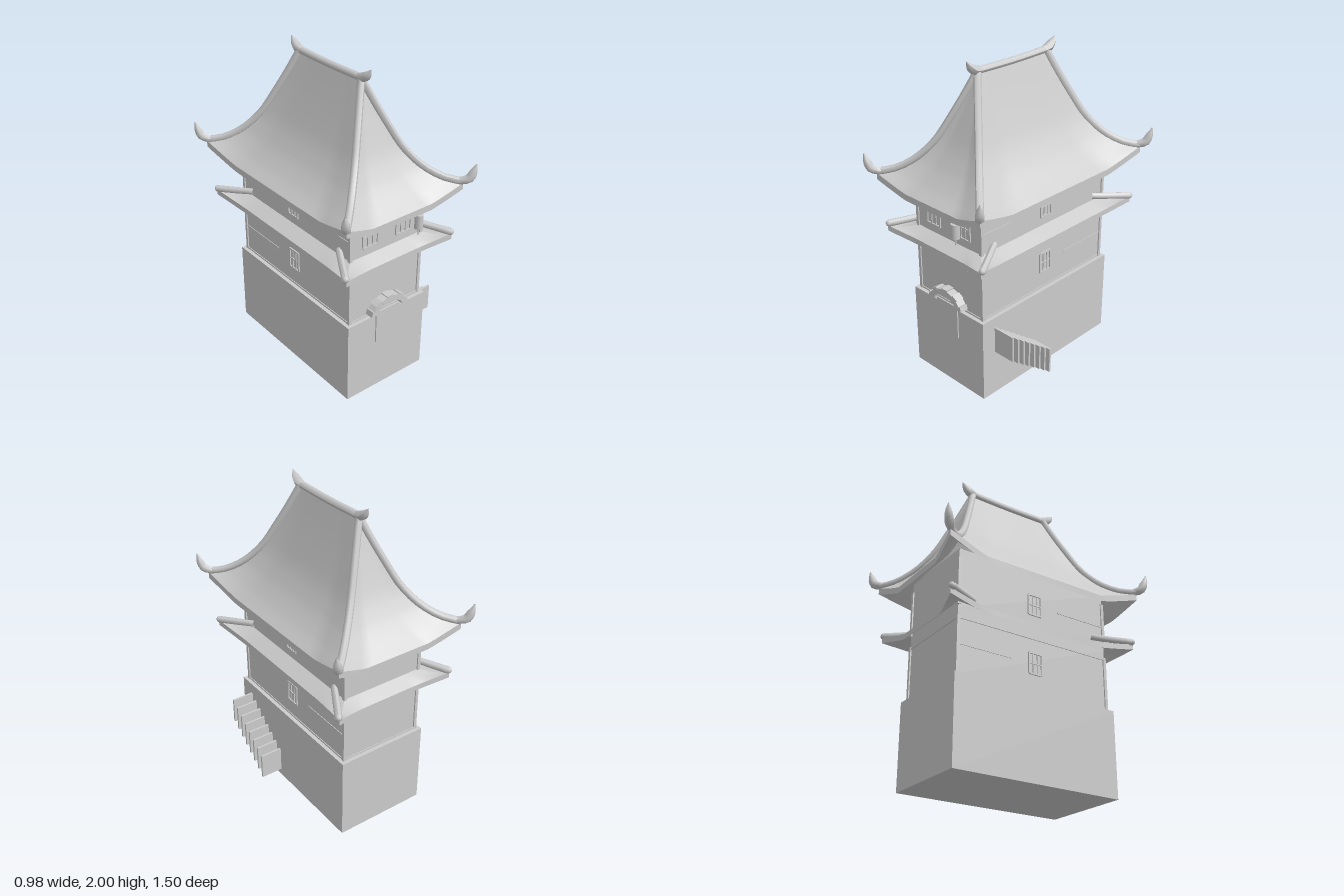
import * as THREE from 'three';
import { ParametricGeometry } from 'three/addons/geometries/ParametricGeometry.js';

const mat = new THREE.MeshStandardMaterial({ color: 0xcccccc, side: THREE.DoubleSide });
const flatMat = new THREE.MeshStandardMaterial({ color: 0xcccccc, side: THREE.DoubleSide, flatShading: true });
const V = (x, y, z) => new THREE.Vector3(x, y, z);
const lerp = THREE.MathUtils.lerp;

function add(parent, name, geometry, material = mat) {
  const mesh = new THREE.Mesh(geometry, material);
  mesh.name = name;
  parent.add(mesh);
  return mesh;
}

function box(parent, name, w, h, d, x, y, z) {
  const mesh = add(parent, name, new THREE.BoxGeometry(w, h, d));
  mesh.position.set(x, y, z);
  return mesh;
}

// Tube whose radius follows a list of values along its path
function taperTube(points, radii, steps = 10, sides = 8) {
  const curve = new THREE.CatmullRomCurve3(points);
  const geo = new THREE.TubeGeometry(curve, steps, 1, sides);
  const pos = geo.attributes.position, v = V(0, 0, 0);
  for (let i = 0; i <= steps; i++) {
    const c = curve.getPointAt(i / steps);
    const f = (i / steps) * (radii.length - 1), k = Math.min(Math.floor(f), radii.length - 2);
    const r = lerp(radii[k], radii[k + 1], f - k);
    for (let j = 0; j <= sides; j++) {
      const n = i * (sides + 1) + j;
      v.fromBufferAttribute(pos, n).sub(c).multiplyScalar(r).add(c);
      pos.setXYZ(n, v.x, v.y, v.z);
    }
  }
  geo.computeVertexNormals();
  return geo;
}

// Height along a slope, from a short [v, y] list
function heightAt(profile, v) {
  for (let i = 1; i < profile.length; i++) {
    const [v0, y0] = profile[i - 1], [v1, y1] = profile[i];
    if (v <= v1) return lerp(y0, y1, (v - v0) / (v1 - v0));
  }
  return profile[profile.length - 1][1];
}

// Point on a slope: u runs along the eave (-1..1), v from top to eave
function slopePoint(s, u, v, target) {
  const f = Math.pow(Math.max(0, (Math.abs(u) - s.flat) / (1 - s.flat)), 1.15);
  const out = lerp(s.out[0], s.out[1] + s.flare * f, v);
  const along = u * lerp(s.along[0], s.along[1], v);
  const y = heightAt(s.profile, v) + s.lift * f * v * v * v;
  return s.side ? target.set(out, y, along) : target.set(along, y, out);
}

// Upper skin, underside and fascia of one slope, repeated on the opposite face
function addSlope(parent, name, s) {
  const skin = drop => (a, b, t) => { slopePoint(s, a * 2 - 1, b, t); t.y -= drop * b; };
  const fascia = (a, b, t) => { slopePoint(s, a * 2 - 1, 1, t); t.y -= s.thick * b; };
  const parts = [['Top', skin(0), 14], ['Underside', skin(s.thick), 14], ['Fascia', fascia, 1]];
  for (const [part, fn, rows] of parts) {
    const geo = new ParametricGeometry(fn, 20, rows);
    geo.computeVertexNormals();
    for (const turn of [0, Math.PI]) add(parent, name + part, geo).rotation.y = turn;
  }
}

// Frame with mullions, facing +z
function windowFrame(w, h) {
  const g = new THREE.Group();
  g.name = 'window';
  for (const s of [-1, 1]) {
    box(g, 'windowJamb', 0.01, h, 0.012, s * w / 2, 0, 0);
    box(g, 'windowRail', w, 0.01, 0.012, 0, s * h / 2, 0);
    box(g, 'windowBar', 0.006, h, 0.008, s * w / 6, 0, 0);
  }
  box(g, 'windowBar', w, 0.006, 0.008, 0, 0, 0);
  return g;
}

export function createModel() {
  const model = new THREE.Group();
  model.name = 'watchTower';

  // Base and the two storeys
  box(model, 'base', 0.6, 0.54, 1.12, 0, 0.27, 0);
  box(model, 'lowerWalls', 0.54, 0.4, 1.06, 0, 0.74, 0);
  box(model, 'upperWalls', 0.54, 0.38, 1.06, 0, 1.13, 0);
  for (const sx of [-1, 1]) for (const sz of [-1, 1]) {
    box(model, 'lowerCornerPost', 0.02, 0.35, 0.02, sx * 0.268, 0.715, sz * 0.528);
    box(model, 'upperCornerPost', 0.02, 0.3, 0.02, sx * 0.268, 1.11, sz * 0.528);
  }
  for (const y of [0.545, 0.88]) box(model, 'wallBeam', 0.55, 0.012, 1.07, 0, y, 0);

  // Main hipped roof
  const profile = [[0, 1.92], [0.12, 1.79], [0.25, 1.66], [0.41, 1.51], [0.61, 1.385], [0.82, 1.295], [1, 1.24]];
  const sideRoof = { side: true, out: [0, 0.40], along: [0.28, 0.69], flare: 0.03, flat: 0.6, lift: 0.075, thick: 0.04, profile };
  const frontRoof = { ...sideRoof, side: false, out: [0.28, 0.66], along: [0, 0.43], flat: 0.5 };
  addSlope(model, 'sideRoof', sideRoof);
  addSlope(model, 'endRoof', frontRoof);

  // Skirt roof between the storeys
  const skirtProfile = [[0, 0.98], [1, 0.935]];
  const sideSkirt = { side: true, out: [0.265, 0.36], along: [0.525, 0.66], flare: 0.04, flat: 0.6, lift: 0.035, thick: 0.035, profile: skirtProfile };
  const frontSkirt = { ...sideSkirt, side: false, out: [0.525, 0.61], along: [0.265, 0.40], flare: 0.05, flat: 0.5 };
  addSlope(model, 'sideSkirt', sideSkirt);
  addSlope(model, 'endSkirt', frontSkirt);

  // Hip ridges, upturned corner horns and skirt ridges
  const hip = [0, 0.12, 0.25, 0.41, 0.61, 0.82, 1].map(v => slopePoint(sideRoof, 1, v, V(0, 0, 0)).add(V(0, 0.012, 0)));
  for (const sx of [-1, 1]) for (const sz of [-1, 1]) {
    const flip = p => V(p.x * sx, p.y, p.z * sz);
    add(model, 'hipRidge', taperTube(hip.map(flip), [0.022, 0.022], 16));
    const horn = [V(0.41, 1.33, 0.672), V(0.45, 1.345, 0.71), V(0.466, 1.385, 0.725), V(0.478, 1.44, 0.735)];
    add(model, 'cornerHorn', taperTube(horn.map(flip), [0.022, 0.03, 0.024, 0.003], 8, 6));
    const skirtRidge = [V(0.27, 1.01, 0.43), V(0.335, 0.995, 0.54), V(0.4, 0.982, 0.65)];
    add(model, 'skirtRidge', taperTube(skirtRidge.map(flip), [0.02, 0.022], 6));
    const cap = add(model, 'skirtRidgeCap', new THREE.SphereGeometry(0.021, 8, 6));
    cap.position.set(0.4 * sx, 0.982, 0.65 * sz);
  }

  // Top ridge with a horn at each end
  add(model, 'topRidge', taperTube([V(0, 1.935, -0.29), V(0, 1.93, 0), V(0, 1.935, 0.29)], [0.022, 0.022]));
  for (const s of [-1, 1]) {
    const horn = [V(0, 1.935, s * 0.26), V(0, 1.945, s * 0.305), V(0, 1.97, s * 0.335), V(0, 2.0, s * 0.358)];
    add(model, 'ridgeHorn', taperTube(horn, [0.022, 0.03, 0.024, 0.003], 8, 6));
  }

  // Windows
  for (const x of [-0.125, 0.125]) {
    const win = windowFrame(0.11, 0.14);
    win.position.set(x, 1.1, 0.532);
    model.add(win);
  }
  for (const s of [-1, 1]) for (const y of [0.72, 1.1]) {
    const win = windowFrame(0.09, 0.13);
    win.position.set(s * 0.272, y, 0);
    win.rotation.y = s * Math.PI / 2;
    model.add(win);
  }
  // Wall rails
  for (const s of [-1, 1]) {
    box(model, 'sideRail', 0.006, 0.008, 0.36, s * 0.271, 1.1, 0.35);
    box(model, 'sideRail', 0.006, 0.008, 0.36, s * 0.271, 0.72, -0.35);
  }
  box(model, 'frontRail', 0.3, 0.008, 0.006, 0, 0.83, 0.531);

  // Doorway and its arch of stones
  box(model, 'door', 0.18, 0.22, 0.008, 0, 0.455, 0.564);
  const stones = 9;
  for (let i = 0; i < stones; i++) {
    const a0 = Math.PI * i / stones, a1 = Math.PI * (i + 1) / stones, shape = new THREE.Shape();
    const k = i % 2 ? 0.95 : 1.03;
    shape.moveTo(0.095 * Math.cos(a0), 0.055 * Math.sin(a0));
    shape.lineTo(0.138 * k * Math.cos(a0), 0.098 * k * Math.sin(a0));
    shape.lineTo(0.138 * k * Math.cos(a1), 0.098 * k * Math.sin(a1));
    shape.lineTo(0.095 * Math.cos(a1), 0.055 * Math.sin(a1));
    const geo = new THREE.ExtrudeGeometry(shape, { depth: 0.055, bevelEnabled: false });
    add(model, 'archStone', geo, flatMat).position.set(0, 0.56, 0.53);
  }

  // Stair of upright slabs on the left side
  for (let i = 0; i < 8; i++)
    box(model, 'step', 0.145, 0.17, 0.013, 0.372, 0.385 - i * 0.0365, 0.457 - i * 0.047);

  // Hanging lantern
  const lantern = new THREE.Group();
  lantern.name = 'lantern';
  add(lantern, 'lanternBody', new THREE.CylinderGeometry(0.026, 0.026, 0.09, 12));
  add(lantern, 'lanternCord', new THREE.CylinderGeometry(0.003, 0.003, 0.08, 6)).position.y = 0.085;
  add(lantern, 'lanternTassel', new THREE.CylinderGeometry(0.004, 0.004, 0.05, 6)).position.y = -0.065;
  lantern.position.set(0.16, 1.13, 0.622);
  model.add(lantern);

  return model;
}
